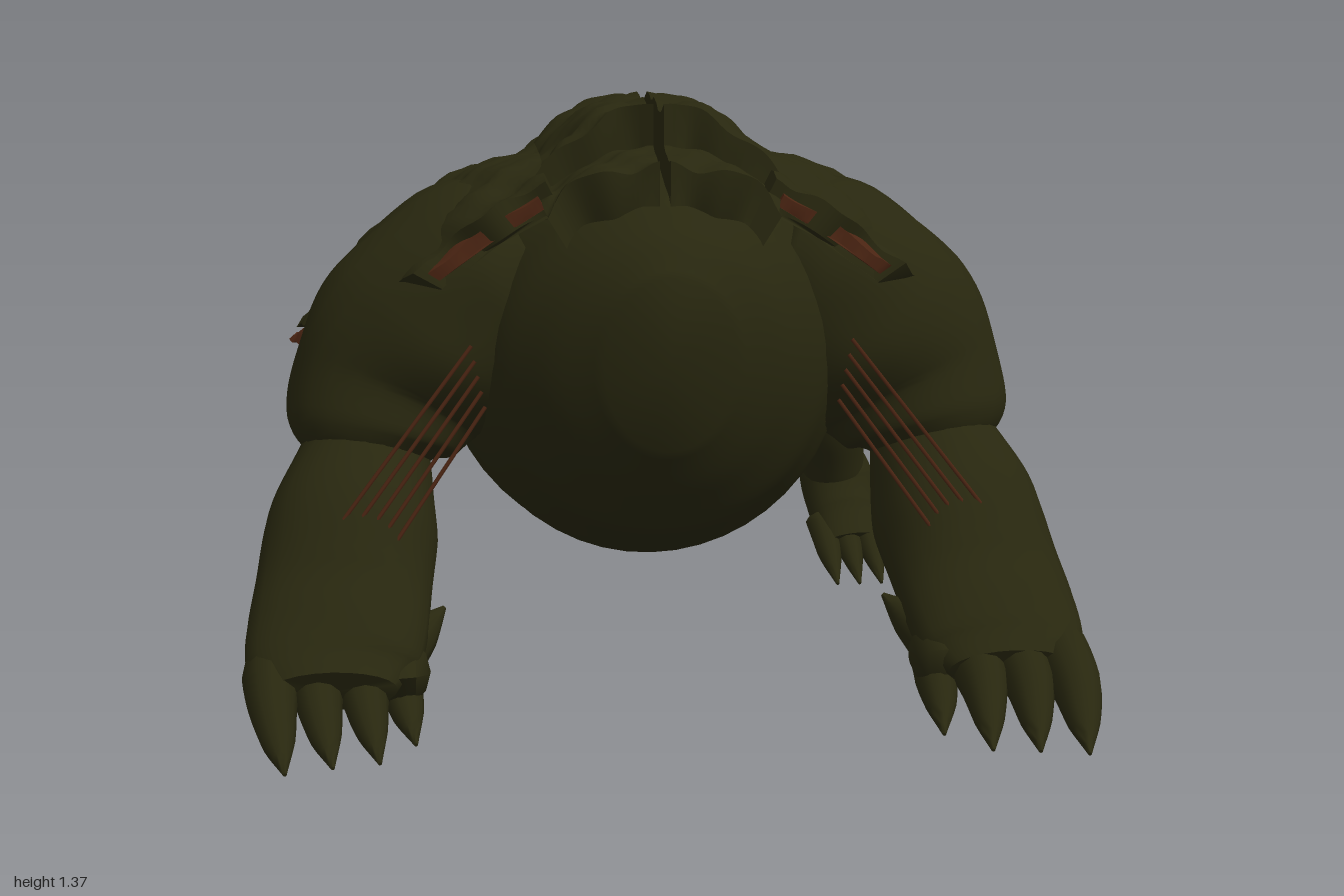
import * as THREE from 'three';
import { toCreasedNormals } from 'three/addons/utils/BufferGeometryUtils.js';

const hide = new THREE.MeshStandardMaterial({ color: 0x28270f, name: 'dark olive hide' });
const rust = new THREE.MeshStandardMaterial({ color: 0x4a2412, name: 'rust flesh' });
const V = (x, y, z) => new THREE.Vector3(x, y, z);

// Smooth bumpy field used for rough surfaces
const bump = (x, y, z) =>
  Math.sin(x * 31 + z * 17) * 0.4 + Math.sin(z * 43 - x * 23 + y * 9) * 0.35 + Math.sin(y * 53 + z * 29) * 0.25;

// Skin a list of equal-length closed rings, capped at both ends
function loft(rings, flip = false, crease = 0.9) {
  const n = rings[0].length, pos = [], idx = [];
  const tri = (a, b, c) => (flip ? idx.push(a, c, b) : idx.push(a, b, c));
  rings.forEach(r => r.forEach(p => pos.push(p.x, p.y, p.z)));
  for (let i = 0; i < rings.length - 1; i++)
    for (let k = 0; k < n; k++) {
      const a = i * n + k, b = i * n + (k + 1) % n;
      tri(a, b, a + n);
      tri(b, b + n, a + n);
    }
  [0, rings.length - 1].forEach(e => {
    const c = rings[e].reduce((s, p) => s.add(p), V(0, 0, 0)).divideScalar(n);
    const m = pos.length / 3;
    pos.push(c.x, c.y, c.z);
    for (let k = 0; k < n; k++) {
      const a = e * n + k, b = e * n + (k + 1) % n;
      e ? tri(m, a, b) : tri(m, b, a);
    }
  });
  const g = new THREE.BufferGeometry();
  g.setAttribute('position', new THREE.Float32BufferAttribute(pos, 3));
  g.setIndex(idx);
  return toCreasedNormals(g, crease);
}

// Limb along points [x, y, z, radius, second radius]; s mirrors it
function limb(pts, s, ref, steps = 36, sides = 24, rough = 0.006) {
  const path = new THREE.CatmullRomCurve3(pts.map(p => V(p[0], p[1], p[2])));
  const radii = new THREE.CatmullRomCurve3(pts.map(p => V(p[3], p[4] ?? p[3], 0)));
  const rings = [];
  for (let i = 0; i <= steps; i++) {
    const t = i / steps, c = path.getPoint(t), r = radii.getPoint(t), T = path.getTangent(t);
    const A = ref.clone().addScaledVector(T, -ref.dot(T)).normalize();
    const B = T.clone().cross(A);
    rings.push(Array.from({ length: sides }, (_, k) => {
      const a = k / sides * Math.PI * 2;
      const p = c.clone().addScaledVector(A, r.x * Math.cos(a)).addScaledVector(B, r.y * Math.sin(a));
      p.addScaledVector(p.clone().sub(c), rough / 0.12 * bump(p.x * 0.5, p.y * 0.5, p.z * 0.5));
      p.x *= s;
      p.y = Math.max(p.y, 0);
      return p;
    }));
  }
  return loft(rings, s < 0, 1.1);
}

// Rough curved slab; sections run back to front as [z, [[x, y], ...]] from inner to outer edge
function plate(sections, thick, s, rough = 0.014, nu = 22, nz = 26) {
  const curves = sections.map(([z, p]) => new THREE.CatmullRomCurve3(p.map(q => V(q[0], q[1], z))));
  const rings = [];
  for (let i = 0; i <= nz; i++) {
    const f = i / nz * (curves.length - 1), j = Math.min(Math.floor(f), curves.length - 2);
    const top = [], bottom = [];
    for (let k = 0; k <= nu; k++) {
      const u = 1 - k / nu;
      const p = curves[j].getPoint(u).lerp(curves[j + 1].getPoint(u), f - j);
      const out = V(p.x, p.y - 0.7, 0).normalize();
      const b = p.clone().addScaledVector(out, -thick);
      const edge = Math.abs(i / nz - 0.5) * 2;
      const jag = rough * 1.6 * edge * bump(p.x * 1.3, 0, sections[0][0]);
      p.addScaledVector(out, rough * (bump(p.x, p.y, p.z) + 0.5 * bump(p.x * 2.1, p.y, p.z * 2.3)));
      p.z += jag;
      b.z += jag;
      if (u > 0.9) p.y += rough * bump(s, 0, p.z * 2);
      p.x = Math.max(p.x, 0.012);
      b.x = Math.max(b.x, 0.012);
      p.x *= s;
      b.x *= s;
      top.push(p);
      bottom.unshift(b);
    }
    const under = [...bottom].reverse().map(b => b.clone());
    if (i === 0) rings.push([...under, ...bottom]);
    rings.push([...top, ...bottom]);
    if (i === nz) rings.push([...under, ...bottom]);
  }
  return loft(rings, s < 0, 0.7);
}

// Barrel body from tail to the flat neck face: [z, half width, top, bottom]
function body() {
  const keys = [
    [-1, 0.03, 0.75, 0.68], [-0.975, 0.09, 0.79, 0.59], [-0.92, 0.17, 0.84, 0.5], [-0.8, 0.26, 0.91, 0.42],
    [-0.6, 0.33, 1.0, 0.35], [-0.4, 0.42, 1.12, 0.29], [-0.2, 0.47, 1.2, 0.26], [0, 0.48, 1.24, 0.27],
    [0.25, 0.45, 1.22, 0.3], [0.42, 0.38, 1.17, 0.38], [0.52, 0.28, 1.1, 0.49], [0.595, 0.15, 1.01, 0.61]];
  const a = new THREE.CatmullRomCurve3(keys.map(k => V(k[0], k[1], 0)));
  const b = new THREE.CatmullRomCurve3(keys.map(k => V(k[2], k[3], 0)));
  const rings = [], n = 48, m = 66;
  for (let i = 0; i <= m; i++) {
    const p = a.getPoint(i / m), q = b.getPoint(i / m);
    const fold = 1 + 0.012 * Math.sin(i * 0.95) * Math.sin(Math.PI * i / m);
    rings.push(Array.from({ length: n }, (_, k) => {
      const t = k / n * Math.PI * 2, y = (q.x + q.y) / 2 + (q.x - q.y) / 2 * Math.sin(t) * fold;
      return V(p.y * Math.cos(t) * fold, y, p.x + Math.max(0, p.x) * 0.21 * (y - 0.81));
    }));
  }
  return loft(rings, false, 0.75);
}

export function createModel() {
  const model = new THREE.Group();
  model.name = 'armouredBeast';
  const add = (name, geo, mat = hide) => {
    const mesh = new THREE.Mesh(geo, mat);
    mesh.name = name;
    model.add(mesh);
  };
  const X = V(1, 0, 0), Z = V(0, 0, 1);
  add('body', body());

  for (const s of [1, -1]) {
    const side = s > 0 ? 'left' : 'right';

    // Front leg: heavy upper arm, pinched elbow, broad forearm
    add(side + 'UpperArm', limb([
      [0.3, 1.0, 0.17, 0.2], [0.4, 0.95, 0.18, 0.25], [0.52, 0.83, 0.19, 0.27, 0.25],
      [0.62, 0.7, 0.21, 0.235, 0.2], [0.66, 0.6, 0.25, 0.2, 0.17], [0.67, 0.54, 0.27, 0.12, 0.11]], s, X));
    add(side + 'Forearm', limb([
      [0.66, 0.63, 0.22, 0.13], [0.68, 0.52, 0.27, 0.165, 0.16], [0.71, 0.4, 0.36, 0.205, 0.17],
      [0.73, 0.29, 0.46, 0.2, 0.15], [0.745, 0.22, 0.55, 0.195, 0.12], [0.76, 0.16, 0.63, 0.185, 0.09],
      [0.76, 0.12, 0.7, 0.14, 0.06]], s, X));

    // Front toes tapering into claws
    [[0.61, 0.82], [0.69, 0.94], [0.79, 0.96], [0.89, 0.99]].forEach(([x, tip], i) => {
      const z = tip - (s < 0 ? 0.06 : 0);
      add(side + 'FrontClaw' + i, limb([
        [x, 0.15, 0.54, 0.05], [x, 0.135, 0.62, 0.066, 0.075], [x, 0.1, z - 0.22, 0.055, 0.06],
        [x - 0.015, 0.05, z - 0.1, 0.035], [x - 0.03, 0.012, z, 0.004]], s, X, 16, 12));
    });
    add(side + 'WristSpur', limb([
      [0.62, 0.15, 0.56, 0.07], [0.56, 0.2, 0.53, 0.045], [0.505, 0.25, 0.5, 0.005]], s, Z, 10, 10));

    // Hind leg arches out, back and down; the right one is planted further back
    const dz = s > 0 ? 0 : -0.13, w = s > 0 ? 0.02 : 0;
    add(side + 'HindLeg', limb([
      [0.2, 0.7, -0.52, 0.17], [0.36, 0.73, -0.57 + dz * 0.2, 0.165], [0.49, 0.7, -0.64 + dz * 0.7, 0.165, 0.16],
      [0.58, 0.56, -0.69 + dz, 0.14, 0.12], [0.61, 0.4, -0.72 + dz, 0.115, 0.1],
      [0.61 + w, 0.28, -0.745 + dz, 0.09, 0.085]], s, Z));
    add(side + 'HindFoot', limb([
      [0.61 + w, 0.35, -0.755 + dz, 0.07], [0.62 + w, 0.26, -0.755 + dz, 0.1, 0.09],
      [0.63 + w, 0.17, -0.7 + dz, 0.095, 0.08], [0.64 + w, 0.1, -0.62 + dz * 0.9, 0.085, 0.045]], s, X));
    [0.58, 0.64, 0.7].forEach((x, i) => add(side + 'HindClaw' + i, limb([
      [x, 0.15, -0.68 + dz, 0.04], [x + 0.01, 0.09, -0.6 + dz * 0.7, 0.036],
      [x + 0.01, 0.025, -0.46 + dz * 0.1, 0.004]], s, X, 10, 10)));

    // Overlapping back armour, split along the spine
    add(side + 'NapePlate', plate([
      [0.1, [[0.012, 1.3], [0.15, 1.28], [0.27, 1.2]]],
      [0.48, [[0.012, 1.25], [0.15, 1.23], [0.27, 1.14]]]], 0.11, s));
    add(side + 'SpinePlate', plate([
      [-0.25, [[0.012, 1.28], [0.12, 1.27], [0.24, 1.2], [0.3, 1.14]]],
      [0, [[0.012, 1.375], [0.12, 1.365], [0.24, 1.28], [0.32, 1.2]]],
      [0.35, [[0.012, 1.36], [0.12, 1.35], [0.23, 1.26], [0.3, 1.18]]]], 0.11, s));
    add(side + 'FlankPlate', plate([
      [-0.24, [[0.012, 1.22], [0.2, 1.19], [0.36, 1.06], [0.47, 0.86]]],
      [0.08, [[0.012, 1.28], [0.22, 1.24], [0.4, 1.09], [0.5, 0.86]]]], 0.08, s));
    add(side + 'RearPlate', plate([
      [-0.49, [[0.012, 1.18], [0.18, 1.12], [0.32, 0.98], [0.41, 0.8]]],
      [-0.14, [[0.012, 1.24], [0.2, 1.18], [0.37, 1.03], [0.48, 0.82]]]], 0.08, s));
    add(side + 'ShoulderPlate', plate([
      [-0.14, [[0.26, 1.2], [0.42, 1.14], [0.58, 1.03], [0.72, 0.83]]],
      [0.07, [[0.26, 1.26], [0.44, 1.2], [0.64, 1.07], [0.83, 0.84]]],
      [0.2, [[0.26, 1.25], [0.44, 1.19], [0.62, 1.07], [0.79, 0.86]]],
      [0.41, [[0.26, 1.2], [0.36, 1.16], [0.46, 1.09], [0.56, 1.0]]]], 0.07, s));

    // Raw flesh under the shoulder edge and along its front rim
    add(side + 'ShoulderFlesh', plate([
      [-0.17, [[0.62, 0.9], [0.68, 0.85], [0.73, 0.79]]],
      [0.06, [[0.72, 0.9], [0.79, 0.85], [0.845, 0.8]]],
      [0.21, [[0.7, 0.9], [0.76, 0.86], [0.805, 0.81]]]], 0.06, s, 0.008));
    add(side + 'FrontRimFlesh', plate([
      [0.36, [[0.28, 1.18], [0.42, 1.1], [0.6, 0.98]]],
      [0.425, [[0.28, 1.17], [0.4, 1.1], [0.53, 1.0]]]], 0.03, s, 0.006));

    // Three exposed ridges above the tail
    [[-0.56, 1.05], [-0.68, 0.99], [-0.8, 0.93]].forEach(([z, y], i) => add(side + 'TailRidge' + i, plate([
      [z - 0.045, [[0.09, y - 0.02], [0.17, y - 0.04], [0.25 - i * 0.01, y - 0.11]]],
      [z + 0.045, [[0.09, y], [0.17, y - 0.02], [0.26 - i * 0.01, y - 0.09]]]], 0.09, s, 0.012, 14, 10), rust));

    // Taut sinews bridging the elbow
    for (let i = 0; i < 5; i++) {
      const f = i / 4;
      const line = new THREE.LineCurve3(
        V(s * (0.435 - 0.03 * f), 0.84 - 0.14 * f, 0.45), V(s * (0.8 - 0.16 * f), 0.37, 0.53));
      add(side + 'Sinew' + i, new THREE.TubeGeometry(line, 1, 0.005, 6), rust);
    }
  }
  for (const m of model.children) if (m.name.endsWith('Flesh')) m.material = rust;
  return model;
}
